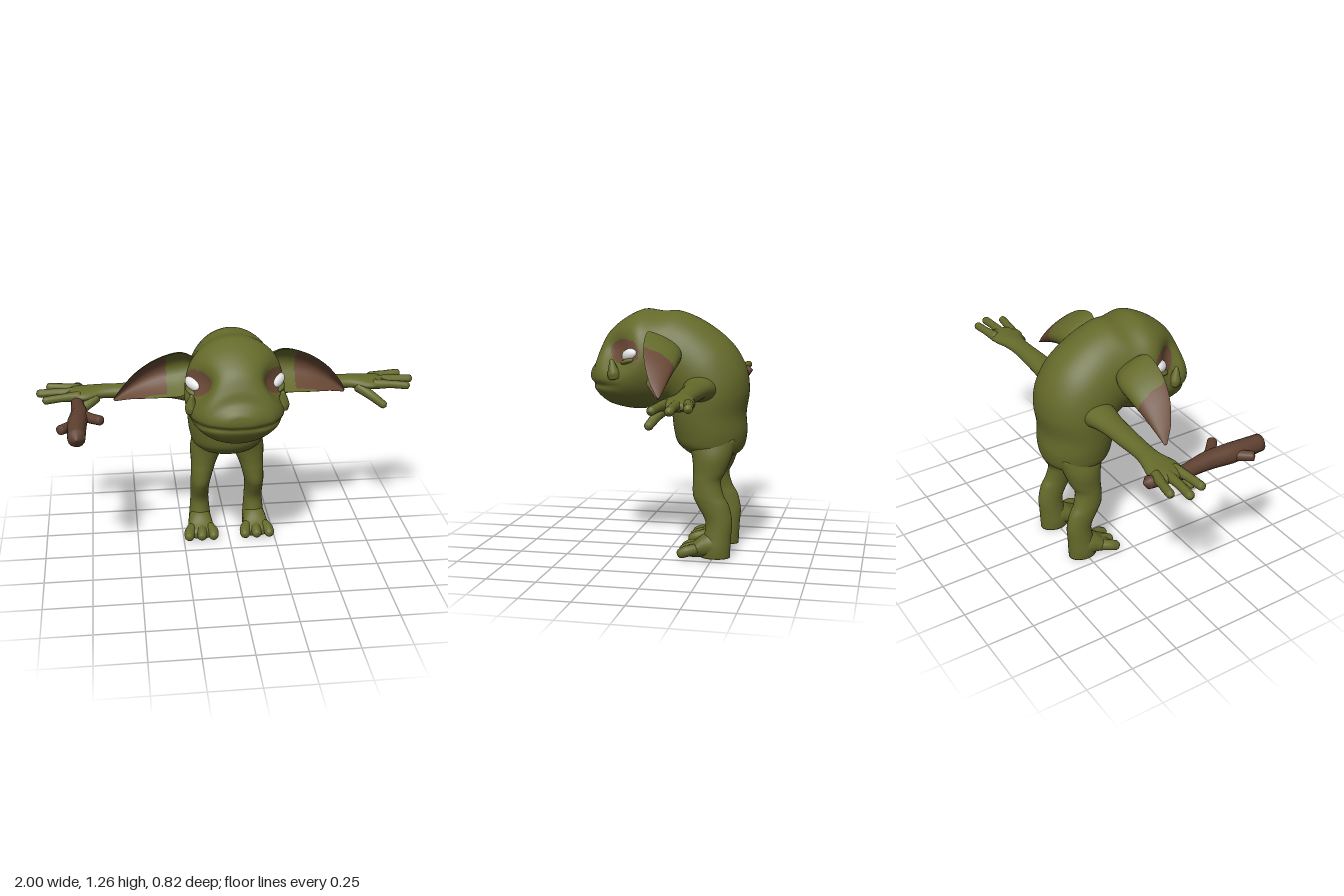
import * as THREE from 'three';

const mat = (name, color, side = THREE.FrontSide) => {
  const m = new THREE.MeshStandardMaterial({ color, side });
  m.name = name;
  return m;
};
const V = (x, y, z) => new THREE.Vector3(x, y, z);
const oval = a => [Math.cos(a), Math.sin(a)];

// Skin through cross-sections. Each row is [A, B, halfWidth]: A and B are opposite
// points of the section, and halfWidth is measured along the axis "side".
function loft(rows, side, { rings = 48, seg = 28, shape = oval, sculpt, pick } = {}) {
  const spline = list => new THREE.CatmullRomCurve3(list, false, 'catmullrom', 0.5);
  const cA = spline(rows.map(r => r[0])), cB = spline(rows.map(r => r[1]));
  const cW = spline(rows.map(r => V(r[2], 0, 0)));
  const pts = [];
  for (let i = -1; i <= rings + 1; i++) {
    const t = Math.min(Math.max(i / rings, 0), 1), cap = i < 0 || i > rings ? 0 : 1;
    const a = cA.getPoint(t), b = cB.getPoint(t), w = cW.getPoint(t).x;
    const mid = a.clone().add(b).multiplyScalar(0.5), half = b.clone().sub(a).multiplyScalar(0.5);
    for (let j = 0; j < seg; j++) {
      const [u, v] = shape(j / seg * Math.PI * 2);
      const p = mid.clone().addScaledVector(half, u * cap).addScaledVector(side, v * w * cap);
      if (sculpt) sculpt(p);
      pts.push(p);
    }
  }
  // Faces, sorted by colour
  const lists = [[], []];
  let volume = 0;
  const face = (a, b, c, j) => {
    const centre = pts[a].clone().add(pts[b]).add(pts[c]).divideScalar(3);
    lists[pick && pick(centre, (j + 0.5) / seg * Math.PI * 2) ? 1 : 0].push([a, b, c]);
    volume += pts[a].dot(pts[b].clone().cross(pts[c]));
  };
  for (let i = 0; i < rings + 2; i++) for (let j = 0; j < seg; j++) {
    const a = i * seg + j, b = i * seg + (j + 1) % seg;
    face(a, b, a + seg, j);
    face(b, b + seg, a + seg, j);
  }
  const flip = f => volume < 0 ? [f[0], f[2], f[1]] : f;
  const g = new THREE.BufferGeometry().setFromPoints(pts);
  g.setIndex(lists.flat().flatMap(flip));
  if (pick) {
    g.addGroup(0, lists[0].length * 3, 0);
    g.addGroup(lists[0].length * 3, lists[1].length * 3, 1);
  }
  g.computeVertexNormals();
  return g;
}

// Round tapering limb through points [x, y, z, radius], with rounded ends
function limb(points, round = 0.1, seg = 14) {
  const curve = new THREE.CatmullRomCurve3(points.map(p => V(p[0], p[1], p[2])));
  const n = 28, g = new THREE.TubeGeometry(curve, n, 1, seg), pos = g.attributes.position;
  for (let k = 0; k < pos.count; k++) {
    const u = Math.floor(k / (seg + 1)) / n, c = curve.getPointAt(u);
    const f = curve.getUtoTmapping(u) * (points.length - 1), i = Math.min(Math.floor(f), points.length - 2);
    const end = Math.max(0, 1 - Math.min(u, 1 - u) / round);
    const r = THREE.MathUtils.lerp(points[i][3], points[i + 1][3], f - i) * Math.sqrt(1 - end * end);
    const p = V().fromBufferAttribute(pos, k).sub(c).multiplyScalar(r).add(c);
    pos.setXYZ(k, p.x, p.y, p.z);
  }
  g.computeVertexNormals();
  return g;
}

export function createModel() {
  const root = new THREE.Group();
  const skin = mat('green skin', 0x64692a), brown = mat('brown skin', 0x694835);
  const wood = mat('wood', 0x5e4030), white = mat('eye white', 0xe6e6e6);
  const add = (name, geo, material) => {
    const m = new THREE.Mesh(geo, material);
    m.name = name;
    root.add(m);
    return m;
  };
  const X = V(1, 0, 0), Y = V(0, 1, 0), Z = V(0, 0, 1);

  // Torso, hunched back and head in one skin: [front z, y, back z, y, half width]
  const body = [
    [-0.17, 0.5, -0.25, 0.5, 0.05], [-0.10, 0.53, -0.33, 0.52, 0.135], [-0.04, 0.58, -0.378, 0.56, 0.185],
    [-0.02, 0.64, -0.395, 0.64, 0.205], [-0.01, 0.72, -0.39, 0.74, 0.215], [-0.01, 0.77, -0.405, 0.86, 0.22],
    [0, 0.78, -0.385, 0.98, 0.22], [0.01, 0.78, -0.31, 1.1, 0.22], [0.02, 0.78, -0.18, 1.2, 0.215],
    [0.04, 0.77, -0.05, 1.255, 0.215], [0.08, 0.76, 0.04, 1.255, 0.235], [0.14, 0.75, 0.13, 1.265, 0.26],
    [0.2, 0.75, 0.2, 1.24, 0.262], [0.26, 0.76, 0.27, 1.195, 0.25], [0.31, 0.775, 0.325, 1.14, 0.225],
    [0.355, 0.805, 0.36, 1.07, 0.185], [0.385, 0.84, 0.378, 1.01, 0.145], [0.41, 0.88, 0.41, 0.965, 0.08],
    [0.418, 0.91, 0.418, 0.935, 0.03],
  ].map(([az, ay, bz, by, w]) => [V(0, ay, az), V(0, by, bz), w]);
  const sculpt = p => {
    // Eye sockets
    p.x *= 1 - 0.4 * Math.exp(-(((p.z - 0.27) / 0.1) ** 2) - ((p.y - 1.07) / 0.1) ** 2);
    // Mouth crease
    if (p.z > 0.2) {
      const d = 0.05 * Math.min(1, (p.z - 0.2) * 8) * Math.exp(-(((p.y - 0.885) / 0.014) ** 2));
      p.x *= 1 - d;
      p.z -= d * 0.2;
    }
  };
  const socket = p => Math.abs(p.x) > 0.08 && ((p.z - 0.2) / 0.085) ** 2 + ((p.y - 1.06) / 0.062) ** 2 < 1;
  add('body', loft(body, X, { rings: 150, seg: 96, sculpt, pick: socket }), [skin, brown]);

  for (const s of [1, -1]) {
    const tag = s > 0 ? 'left' : 'right';

    // Eye and lower lid
    const ball = (name, m, y, z, size) => {
      const e = add(tag + name, new THREE.SphereGeometry(1, 24, 16), m);
      e.position.set(s * 0.2, y, z);
      e.rotation.set(0, s * Math.PI / 4, s * 0.3);
      e.scale.set(...size);
    };
    ball('Eye', white, 1.042, 0.17, [0.06, 0.034, 0.036]);
    ball('LowerLid', skin, 1.008, 0.175, [0.055, 0.018, 0.042]);

    // Tusk
    const tusk = [[0.218, 0.925, 0.245, 0.034], [0.226, 0.955, 0.25, 0.032], [0.222, 1.025, 0.262, 0.008]];
    add(tag + 'Tusk', limb(tusk.map(([x, ...r]) => [s * x, ...r])), skin);

    // Ear: [lower x, y, upper x, y, z, half depth], hollow in front
    const ear = [
      [0.17, 1, 0.17, 1.12, 0, 0.05], [0.25, 0.94, 0.26, 1.168, 0, 0.075], [0.33, 0.93, 0.38, 1.135, -0.005, 0.075],
      [0.42, 0.92, 0.485, 1.06, -0.015, 0.06], [0.51, 0.905, 0.56, 0.965, -0.035, 0.035],
      [0.595, 0.878, 0.602, 0.888, -0.06, 0.006],
    ].map(([ax, ay, bx, by, z, w]) => [V(s * ax, ay, z), V(s * bx, by, z), w]);
    const hollow = a => {
      const u = Math.cos(a), v = Math.sin(a);
      return [u, 1.6 * u * u - 0.8 + (v > 0 ? 0.1 : 0.6) * v];
    };
    const tip = (p, a) => Math.abs(p.x) > 0.43 || (Math.abs(p.x) > 0.33 && Math.sin(a) > 0.5);
    add(tag + 'Ear', loft(ear, Z, { shape: hollow, pick: tip, seg: 40 }), [skin, brown]);

    // Arm and palm: [x, y, front z, back z, half height]
    const arm = [
      [0.12, 0.87, -0.09, -0.28, 0.085], [0.22, 0.88, -0.1, -0.265, 0.062], [0.32, 0.885, -0.12, -0.25, 0.046],
      [0.45, 0.885, -0.13, -0.24, 0.042], [0.58, 0.885, -0.135, -0.235, 0.036], [0.66, 0.885, -0.13, -0.245, 0.034],
      [0.74, 0.88, -0.1, -0.265, 0.032], [0.8, 0.88, -0.11, -0.265, 0.028], [0.84, 0.88, -0.15, -0.235, 0.015],
    ].map(([x, y, f, b, w]) => [V(s * x, y, f), V(s * x, y, b), w]);
    add(tag + 'Arm', loft(arm, Y), skin);

    // Fingers and thumb
    [
      [[0.76, 0.88, -0.235, 0.03], [0.86, 0.887, -0.258, 0.021], [0.95, 0.888, -0.272, 0.021]],
      [[0.76, 0.88, -0.19, 0.03], [0.88, 0.885, -0.192, 0.021], [1, 0.88, -0.197, 0.022]],
      [[0.76, 0.88, -0.14, 0.03], [0.86, 0.882, -0.122, 0.021], [0.965, 0.875, -0.106, 0.021]],
      [[0.68, 0.875, -0.15, 0.03], [0.75, 0.835, -0.1, 0.025], [0.83, 0.778, -0.06, 0.02]],
    ].forEach((f, i) => add(tag + (i < 3 ? 'Finger' + (i + 1) : 'Thumb'),
      limb(f.map(([x, ...r]) => [s * x, ...r])), skin));

    // Leg: [y, x, half width, front z, back z]
    const leg = [
      [0.62, 0.1, 0.08, -0.1, -0.36], [0.53, 0.112, 0.088, -0.13, -0.335], [0.45, 0.128, 0.07, -0.14, -0.305],
      [0.4, 0.137, 0.061, -0.14, -0.283], [0.33, 0.147, 0.054, -0.143, -0.3], [0.28, 0.15, 0.051, -0.165, -0.328],
      [0.2, 0.15, 0.05, -0.207, -0.345], [0.12, 0.15, 0.056, -0.2, -0.34], [0.06, 0.15, 0.062, -0.18, -0.337],
      [0.012, 0.15, 0.058, -0.18, -0.335],
    ].map(([y, x, w, f, b]) => [V(s * x, y, f), V(s * x, y, b), w]);
    add(tag + 'Leg', loft(leg, X), skin);

    // Foot: [z, bottom y, top y, half width]
    const foot = [
      [-0.31, 0.012, 0.08, 0.04], [-0.25, 0.01, 0.14, 0.06], [-0.2, 0.01, 0.13, 0.066],
      [-0.15, 0.01, 0.09, 0.074], [-0.12, 0.012, 0.07, 0.068], [-0.105, 0.02, 0.055, 0.05],
    ].map(([z, lo, hi, w]) => [V(s * 0.152, lo, z), V(s * 0.152, hi, z), w]);
    add(tag + 'Foot', loft(foot, X), skin);
    [0.088, 0.15, 0.218].forEach((x, i) => add(tag + 'Toe' + (i + 1), limb([
      [s * (x * 0.6 + 0.06), 0.06, -0.18, 0.03], [s * x, 0.05, -0.12, 0.029], [s * x * 1.02, 0.03, -0.075, 0.024],
    ], 0.2), skin));
  }

  // Gnarled stick in the right hand, with two branch stubs
  add('stick', limb([
    [-0.785, 0.872, -0.315, 0.032], [-0.79, 0.86, -0.2, 0.028], [-0.785, 0.852, -0.08, 0.034],
    [-0.775, 0.856, 0.05, 0.045], [-0.785, 0.858, 0.18, 0.05], [-0.785, 0.856, 0.375, 0.042],
  ], 0.02), wood);
  add('stickBranch1', limb([[-0.775, 0.856, 0.05, 0.032], [-0.72, 0.86, 0.11, 0.026], [-0.66, 0.865, 0.165, 0.024]], 0.08), wood);
  add('stickBranch2', limb([[-0.785, 0.856, 0.17, 0.032], [-0.83, 0.858, 0.21, 0.026], [-0.872, 0.862, 0.255, 0.024]], 0.08), wood);

  return root;
}
